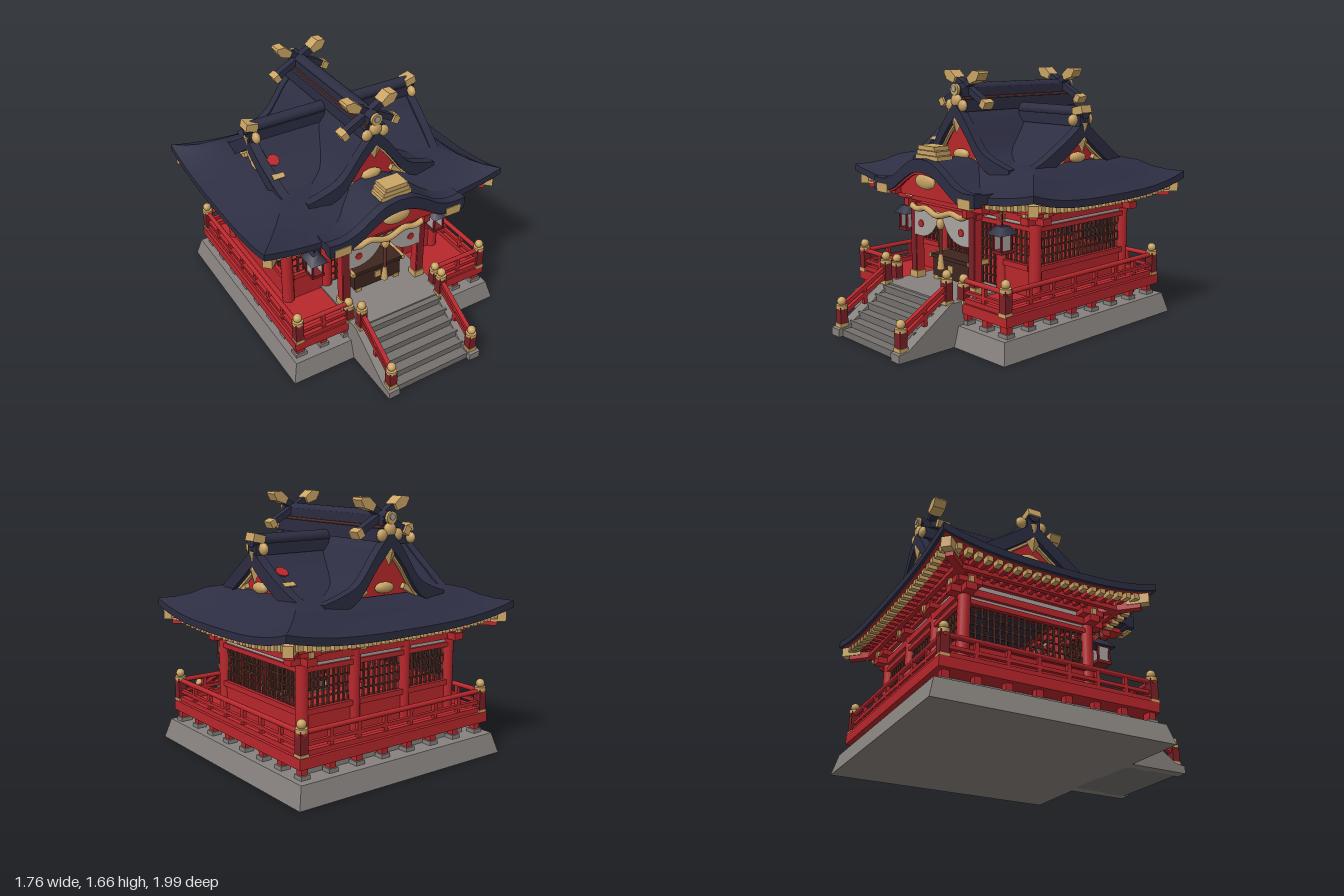
import * as THREE from 'three';
import { toCreasedNormals } from 'three/addons/utils/BufferGeometryUtils.js';

const mat = (name, color, side = THREE.FrontSide) => {
  const m = new THREE.MeshStandardMaterial({ color, side });
  m.name = name;
  return m;
};
const navy = mat('navy roof', 0x2c2d42), red = mat('vermilion', 0xb9272c), gold = mat('gold', 0xcba565),
  stone = mat('stone', 0x87827e), darkStone = mat('worn stone', 0x74706d), white = mat('off white', 0xaaa6a2, THREE.DoubleSide),
  brown = mat('dark wood', 0x3e251f), wood = mat('lattice wood', 0x5a3028), maroon = mat('dark red', 0x7c2026);

const add = (p, name, geo, m, x = 0, y = 0, z = 0, rx = 0, ry = 0, rz = 0) => {
  const o = new THREE.Mesh(geo, m);
  o.name = name;
  o.position.set(x, y, z);
  o.rotation.set(rx, ry, rz);
  p.add(o);
  return o;
};
const box = (p, name, m, w, h, d, ...t) => add(p, name, new THREE.BoxGeometry(w, h, d), m, ...t);
const cyl = (p, name, m, r, h, ...t) => add(p, name, new THREE.CylinderGeometry(r, r, h, 16), m, ...t);
const group = (p, name, x = 0, y = 0, z = 0, ry = 0) => {
  const g = new THREE.Group();
  g.name = name;
  g.position.set(x, y, z);
  g.rotation.y = ry;
  p.add(g);
  return g;
};
// Box whose top is smaller than its foot
const taper = (w, h, d, inset) => {
  const g = new THREE.BoxGeometry(w, h, d), a = g.attributes.position;
  for (let i = 0; i < a.count; i++) if (a.getY(i) > 0)
    a.setXYZ(i, a.getX(i) - Math.sign(a.getX(i)) * inset, a.getY(i), a.getZ(i) - Math.sign(a.getZ(i)) * inset);
  g.computeVertexNormals();
  return g;
};
const extrude = (shape, depth) => toCreasedNormals(
  new THREE.ExtrudeGeometry(shape, { depth, bevelEnabled: false }).translate(0, 0, -depth / 2), 0.6);
const V2 = (a) => new THREE.Vector2(a[0], a[1]);
const tube = (pts, r) => new THREE.TubeGeometry(
  new THREE.CatmullRomCurve3(pts.map((a) => new THREE.Vector3(...a))), 40, r, 8);

// Mirrored roof profile, either a band of given thickness or filled down to a base height
const roofShape = (half, dy, thick, base) => {
  const r = new THREE.SplineCurve(half.map(V2)).getPoints(18);
  const top = [...r.slice(1).reverse().map((v) => [-v.x, v.y + dy]), ...r.map((v) => [v.x, v.y + dy])];
  const low = base === undefined ? top.map(([x, y]) => [x, y - thick]).reverse()
    : top.map(([x, y]) => [x, Math.min(base, y - 0.01)]).reverse();
  return new THREE.Shape([...top, ...low].map(V2));
};

// Closed rings of a rectangular hipped roof; ring = [inset, height, corner lift]
const HX = 0.88, HZ = 0.715, CZ = -0.275;
const hipLoft = (rings) => {
  const N = 20, pos = [], idx = [], row = 4 * (N + 1);
  for (const [d, y, k] of rings) {
    const a = HX - d, b = Math.max(HZ - d, 0.02);
    for (let s = 0; s < 4; s++) for (let i = 0; i <= N; i++) {
      const u = (i / N) * 2 - 1, h = y + k * 0.075 * Math.abs(u) ** 3;
      pos.push(...[[u * a, h, b], [a, h, -u * b], [-u * a, h, -b], [-a, h, u * b]][s]);
    }
  }
  for (let r = 0; r < rings.length - 1; r++) for (let s = 0; s < 4; s++) for (let i = 0; i < N; i++) {
    const a = r * row + s * (N + 1) + i, b = a + row;
    idx.push(a, a + 1, b + 1, a, b + 1, b);
  }
  const g = new THREE.BufferGeometry();
  g.setAttribute('position', new THREE.Float32BufferAttribute(pos, 3));
  g.setIndex(idx);
  return toCreasedNormals(g, 0.6);
};

// Lattice window in the local xy plane
const lattice = (p, x0, x1, y0, y1) => {
  const g = group(p, 'latticeWindow', (x0 + x1) / 2, (y0 + y1) / 2), w = x1 - x0, h = y1 - y0;
  const n = Math.round(w / 0.04), m = Math.round(h / 0.055);
  for (let i = 0; i <= n; i++) box(g, 'verticalBar', wood, 0.012, h, 0.014, -w / 2 + (w * i) / n);
  for (let i = 0; i <= m; i++) box(g, 'horizontalBar', wood, w, 0.009, 0.01, 0, -h / 2 + (h * i) / m);
};

// One outer wall, facing local +z
const wall = (p, name, L, cols, door, ...t) => {
  const g = group(p, name, ...t);
  box(g, 'upperPanel', white, 2 * L, 0.17, 0.03, 0, 0.785);
  for (const [y, h, d, e] of [[0.455, 0.035, 0.06, 0], [0.705, 0.03, 0.06, 0], [0.765, 0.045, 0.07, 0.1], [0.845, 0.04, 0.08, 0.08]])
    if (!door || y > 0.5) box(g, 'beam', red, 2 * (L + e), h, d, 0, y);
  cols.forEach((x, i) => {
    cyl(g, 'column', red, 0.04, 0.6, x, 0.56);
    box(g, 'bracket', red, 0.15, 0.035, 0.13, x, 0.81, 0.02);
    box(g, 'bracketTip', gold, 0.03, 0.04, 0.02, x, 0.81, 0.09);
    if (!i) return;
    const a = cols[i - 1] + 0.035, b = x - 0.035, mid = door && i === 2;
    lattice(g, a, b, mid ? 0.28 : 0.47, 0.69);
    if (!mid) box(g, 'lowerPanel', red, b - a, 0.18, 0.03, (a + b) / 2, 0.36);
    if (door && !mid) box(g, 'sill', red, b - a, 0.035, 0.06, (a + b) / 2, 0.455);
  });
};

// Newel post with gold cap
const newel = (p, x, y, z, h) => {
  const g = group(p, 'newelPost', x, y, z);
  box(g, 'shaft', maroon, 0.055, h, 0.055, 0, h / 2);
  box(g, 'foot', gold, 0.062, 0.025, 0.062, 0, 0.012);
  cyl(g, 'collar', gold, 0.036, 0.025, 0, h);
  add(g, 'finial', new THREE.SphereGeometry(0.029, 12, 8), gold, 0, h + 0.035);
};

// Straight balustrade along local x, with short stilts below the deck
const railing = (p, len, ...t) => {
  const g = group(p, 'railing', ...t), n = Math.max(2, Math.round(len / 0.19));
  cyl(g, 'topRail', red, 0.016, len + 0.06, 0, 0.405, 0, 0, 0, Math.PI / 2);
  box(g, 'middleRail', red, len, 0.022, 0.025, 0, 0.335);
  box(g, 'bottomRail', red, len, 0.03, 0.035, 0, 0.285);
  for (let i = 0; i <= n; i++) {
    const x = -len / 2 + (len * i) / n;
    box(g, 'baluster', red, 0.025, 0.13, 0.025, x, 0.33);
    box(g, 'stilt', red, 0.045, 0.07, 0.045, x * 0.97, 0.175, -0.02);
    box(g, 'stiltFoot', stone, 0.065, 0.03, 0.065, x * 0.97, 0.14, -0.02);
  }
};

// Gabled roof with its ridge along local z; the rakes draw back by cut towards the eaves
const gable = (p, name, half, L, thick, wallBase, cut, ...t) => {
  const g = group(p, name, ...t), peak = half[0][1], w = half[half.length - 1][0];
  const band = (dy, th, depth, z, pts = half) => {
    const geo = extrude(roofShape(pts, dy, th), depth).translate(0, 0, z), a = geo.attributes.position;
    for (let i = 0; i < a.count; i++) a.setZ(i, a.getZ(i) - Math.sign(a.getZ(i)) * cut * (a.getX(i) / w) ** 2);
    return geo;
  };
  add(g, 'roofSlab', band(0, thick, 2 * L, 0), navy);
  for (const s of [-1, 1]) {
    add(g, 'rake', band(0.01, thick + 0.01, 0.06, s * (L - 0.02)), navy);
    add(g, 'rakeTrim', band(-thick, 0.018, 0.025, s * (L - 0.035), half.slice(0, -1)), gold);
    add(g, 'gableWall', extrude(roofShape(half.slice(0, -1), -thick + 0.01, 0, wallBase), 0.03), red, 0, 0, s * (L - 0.08));
    add(g, 'gablePendant', new THREE.OctahedronGeometry(1), gold, 0, peak - thick - 0.02, s * (L - 0.01)).scale.set(0.055, 0.09, 0.025);
    add(g, 'gableBoss', new THREE.SphereGeometry(1, 10, 6), gold, 0, wallBase + 0.05, s * (L - 0.05)).scale.set(0.075, 0.035, 0.03);
    for (const k of [-1, 1]) box(g, 'gableCorner', gold, 0.1, 0.035, 0.03, k * 0.19, wallBase + 0.025, s * (L - 0.05), 0, 0, -k * 0.5);
  }
};

export function createModel() {
  const root = new THREE.Group();
  root.name = 'shrine';

  // Stone base, stairs and cheeks
  add(root, 'base', taper(1.59, 0.13, 1.57, 0.035), stone, 0, 0.065, -0.205);
  box(root, 'foundation', stone, 1.24, 0.1, 1.22, 0, 0.17, -0.22);
  box(root, 'porchFloor', stone, 0.68, 0.16, 0.5, 0, 0.2, 0.35);
  for (let i = 0; i < 6; i++) box(root, 'step', darkStone, 0.58, 0.045 * (i + 1), 0.08, 0, 0.0225 * (i + 1), 0.93 - i * 0.066);
  const cheek = extrude(new THREE.Shape([[0.5, 0], [1, 0], [1, 0.05], [0.93, 0.06], [0.6, 0.28], [0.5, 0.28]].map(V2)), 0.08).rotateY(-Math.PI / 2);
  for (const s of [-1, 1]) {
    add(root, 'stairCheek', cheek, stone, s * 0.315);
    newel(root, s * 0.31, 0.055, 0.95, 0.13);
    newel(root, s * 0.31, 0.27, 0.6, 0.15);
    for (const y of [0.285, 0.235]) box(root, 'stairRail', red, 0.03, 0.026, 0.41, s * 0.31, y, 0.775, 0.52);
    box(root, 'stairBaluster', red, 0.025, 0.12, 0.025, s * 0.31, 0.23, 0.775);
  }

  // Veranda
  box(root, 'deck', red, 1.49, 0.065, 1.44, 0, 0.235, -0.205);
  for (const s of [-1, 1]) {
    railing(root, 1.38, s * 0.71, 0, -0.2, s * Math.PI / 2);
    railing(root, 0.36, s * 0.53, 0, 0.49, 0);
    for (const z of [0.49, -0.89]) newel(root, s * 0.71, 0.26, z, 0.16);
    newel(root, s * 0.34, 0.26, 0.49, 0.12);
  }
  railing(root, 1.42, 0, 0, -0.89, Math.PI);

  // Hall walls
  wall(root, 'frontWall', 0.58, [-0.58, -0.29, 0.29, 0.58], true, 0, 0, 0.115, 0);
  wall(root, 'backWall', 0.58, [-0.58, -0.2, 0.2, 0.58], false, 0, 0, -0.715, Math.PI);
  for (const s of [-1, 1]) wall(root, 'sideWall', 0.415, [-0.415, 0.415], false, s * 0.58, 0, -0.3, s * Math.PI / 2);

  // Hipped lower roof
  const roof = group(root, 'lowerRoof', 0, 0, CZ);
  add(roof, 'roofSkirt', hipLoft([[0.02, 0.865, 1], [0, 0.87, 1], [0, 0.915, 1], [0.08, 0.95, 0.7], [0.15, 0.995, 0.4],
    [0.22, 1.055, 0.15], [0.3, 1.085, 0], [0.42, 1.1, 0], [0.7, 1.11, 0]]), navy);
  add(roof, 'eaveSoffit', hipLoft([[0.4, 0.87, 0], [0.02, 0.866, 1]]), red);
  for (const sx of [-1, 1]) for (const sz of [-1, 1]) {
    box(roof, 'hipRafterTip', gold, 0.06, 0.065, 0.14, sx * 0.8, 0.89, sz * (HZ - 0.08), 0, sx * sz * Math.PI / 4);
    box(roof, 'hipRafter', red, 0.05, 0.06, 0.34, sx * 0.69, 0.86, sz * (HZ - 0.19), 0, sx * sz * Math.PI / 4);
  }
  [[HX, HZ], [HZ, HX], [HX, HZ], [HZ, HX]].forEach(([l, d], k) => {
    const g = group(roof, 'rafters', 0, 0, 0, k * Math.PI / 2);
    box(g, 'eaveBeam', red, 2 * l - 0.34, 0.03, 0.03, 0, 0.845, d - 0.17);
    const n = Math.round((2 * l - 0.24) / 0.062);
    for (let i = 0; i <= n; i++) {
      const x = (l - 0.12) * ((2 * i) / n - 1), y = 0.858 + 0.06 * Math.abs(x / l) ** 3;
      box(g, 'rafter', red, 0.026, 0.03, 0.2, x, y, d - 0.17);
      box(g, 'rafterTip', gold, 0.034, 0.038, 0.055, x, y, d - 0.065);
    }
  });

  // Main gable and the crossing side gable
  gable(root, 'mainGable', [[0, 1.45], [0.1, 1.34], [0.23, 1.165], [0.35, 1.1], [0.47, 1.06]], 0.53, 0.085, 1.075, 0.03, 0, 0, -0.27);
  gable(root, 'sideGable', [[0, 1.34], [0.12, 1.25], [0.24, 1.17], [0.36, 1.095], [0.46, 1.05]], 0.615, 0.09, 1.065, 0.05, 0, 0, CZ, Math.PI / 2);

  // Small coloured patches on the side slopes
  for (const s of [-1, 1]) {
    const g = group(root, 'slopePatches', 0, 0, CZ, s > 0 ? 0 : Math.PI);
    add(g, 'redPatch', new THREE.CylinderGeometry(0.042, 0.042, 0.008, 7), red, -0.525, 1.228, 0.17, 0.58);
    box(g, 'goldPatch', gold, 0.08, 0.008, 0.035, -0.54, 1.166, 0.265, 0.58);
  }

  // Main ridge with crossed finials
  const ridge = group(root, 'mainRidge', 0, 0, -0.27);
  box(ridge, 'ridgeBase', navy, 0.15, 0.08, 1.02, 0, 1.44);
  box(ridge, 'ridgeStripe', wood, 0.11, 0.02, 1.0, 0, 1.485);
  box(ridge, 'ridgeCore', navy, 0.09, 0.06, 1.02, 0, 1.52);
  cyl(ridge, 'ridgeCap', navy, 0.045, 1.04, 0, 1.535, 0, Math.PI / 2);
  const tip = extrude(new THREE.Shape([[0, -0.022], [0.07, -0.036], [0.115, -0.008], [0.115, 0.008], [0.07, 0.036], [0, 0.022]].map(V2)), 0.085);
  for (const s of [-1, 1]) {
    cyl(ridge, 'ridgeEndDisc', gold, 0.038, 0.03, 0, 1.54, s * 0.525, Math.PI / 2);
    cyl(ridge, 'ridgeEndCentre', white, 0.02, 0.008, 0, 1.545, s * 0.542, Math.PI / 2);
    for (const [x, y, r] of [[0, 1.47, 0.045], [-0.06, 1.44, 0.038], [0.06, 1.44, 0.038]])
      add(ridge, 'ridgeEndOrnament', new THREE.SphereGeometry(r, 10, 8), gold, x, y, s * 0.52).scale.z = 0.6;
    for (const k of [-1, 1]) {
      const arm = group(ridge, 'crossedFinial', 0, 1.555, s * 0.44 + k * 0.008);
      arm.rotation.z = k * 0.5;
      box(arm, 'finialBar', navy, 0.36, 0.04, 0.05, k * -0.04);
      box(arm, 'lowerTip', gold, 0.045, 0.05, 0.08, k * -0.215);
      add(arm, 'upperTip', tip, gold, k * 0.085, 0, 0, 0, k > 0 ? 0 : Math.PI);
    }
  }

  // Side ridges
  for (const s of [-1, 1]) {
    const g = group(root, 'sideRidge', 0, 0, CZ, s * Math.PI / 2);
    box(g, 'ridgeBase', navy, 0.09, 0.07, 0.54, 0, 1.35, 0.35);
    cyl(g, 'ridgeCap', navy, 0.04, 0.56, 0, 1.4, 0.35, Math.PI / 2);
    box(g, 'ridgeTip', gold, 0.09, 0.05, 0.08, 0, 1.415, 0.595, -0.25);
    for (const k of [-1, 0, 1]) add(g, 'ridgeOrnament', new THREE.SphereGeometry(0.038, 10, 8), gold, k * 0.07, 1.355, 0.585).scale.z = 0.7;
    add(g, 'ridgeDrop', new THREE.ConeGeometry(0.03, 0.1, 8), gold, 0, 1.29, 0.61, Math.PI);
  }

  // Porch with its curved roof
  const porch = group(root, 'porch');
  const wave = [[0, 1.12], [0.1, 1.105], [0.2, 1.05], [0.3, 0.985], [0.4, 0.955], [0.5, 0.96]];
  add(porch, 'porchRoof', extrude(roofShape(wave, -0.01, 0.06), 0.36), navy, 0, 0, 0.35);
  add(porch, 'porchRake', extrude(roofShape(wave, 0, 0.085), 0.06), navy, 0, 0, 0.515);
  add(porch, 'porchTrim', extrude(roofShape(wave.slice(0, 5), -0.08, 0.018), 0.02), red, 0, 0, 0.52);
  add(porch, 'porchGable', extrude(roofShape(wave.slice(0, 4), -0.07, 0, 0.86), 0.03), red, 0, 0, 0.46);
  add(porch, 'porchPendant', new THREE.SphereGeometry(1, 12, 8), gold, 0, 0.975, 0.51).scale.set(0.1, 0.05, 0.025);
  for (const [w, y] of [[0.22, 1.125], [0.19, 1.155], [0.16, 1.185]]) box(porch, 'roofOrnament', gold, w, 0.027, 0.12, 0, y, 0.44);
  box(porch, 'frontBeam', red, 0.84, 0.05, 0.06, 0, 0.84, 0.38);
  box(porch, 'lowerBeam', red, 0.66, 0.035, 0.05, 0, 0.775, 0.35);
  add(porch, 'twistedRope', tube([[-0.3, 0.79, 0.41], [-0.22, 0.76, 0.41], [-0.13, 0.775, 0.41], [0, 0.745, 0.42],
    [0.13, 0.775, 0.41], [0.22, 0.76, 0.41], [0.3, 0.79, 0.41]], 0.02), gold);
  add(porch, 'bell', new THREE.SphereGeometry(0.028, 12, 8), gold, 0, 0.69, 0.39).scale.y = 1.5;
  cyl(porch, 'bellRope', wood, 0.012, 0.2, 0, 0.57, 0.39);
  add(porch, 'ropeTassel', new THREE.CylinderGeometry(0.014, 0.026, 0.1, 10), gold, 0, 0.44, 0.39);
  for (const s of [-1, 1]) {
    box(porch, 'porchColumn', red, 0.06, 0.6, 0.06, s * 0.29, 0.57, 0.35);
    box(porch, 'columnFace', maroon, 0.05, 0.44, 0.008, s * 0.29, 0.55, 0.38);
    box(porch, 'porchColumnBase', gold, 0.075, 0.05, 0.075, s * 0.29, 0.3, 0.35);
    box(porch, 'columnCapital', gold, 0.075, 0.03, 0.09, s * 0.29, 0.85, 0.375);
    box(porch, 'tieBeam', red, 0.045, 0.05, 0.36, s * 0.29, 0.8, 0.26);
    box(porch, 'porchBracket', red, 0.1, 0.05, 0.2, s * 0.38, 0.88, 0.4);
    box(porch, 'eaveFitting', gold, 0.11, 0.06, 0.04, s * 0.41, 0.89, 0.53);
    const cloth = new THREE.Shape();
    cloth.moveTo(s * 0.01, 0.765);
    cloth.lineTo(s * 0.27, 0.765);
    cloth.lineTo(s * 0.27, 0.58);
    cloth.quadraticCurveTo(s * 0.09, 0.55, s * 0.02, 0.72);
    add(porch, 'curtain', new THREE.ShapeGeometry(cloth), white, 0, 0, 0.388);
    cyl(porch, 'curtainDot', red, 0.025, 0.008, s * 0.2, 0.66, 0.39, Math.PI / 2);

    // Hanging lantern, papered on its broad sides
    const l = group(root, 'lantern', s * 0.47, 0, 0.29);
    cyl(l, 'cord', brown, 0.005, 0.13, 0, 0.8);
    add(l, 'ring', new THREE.TorusGeometry(0.026, 0.005, 6, 16), gold, 0, 0.79, 0, 0, Math.PI / 2);
    add(l, 'lanternRoof', new THREE.CylinderGeometry(0.05, 0.11, 0.05, 4).rotateY(Math.PI / 4), navy, 0, 0.71).scale.x = 0.8;
    for (const a of [-1, 1]) {
      box(l, 'lanternPaper', white, 0.008, 0.1, 0.075, a * 0.034, 0.63);
      for (const b of [-1, 1]) box(l, 'lanternPost', maroon, 0.012, 0.11, 0.014, a * 0.036, 0.63, b * 0.04);
    }
    box(l, 'lanternFoot', maroon, 0.09, 0.02, 0.1, 0, 0.575);
  }

  // Offering box
  const chest = group(root, 'offeringBox', 0, 0.28, 0.24);
  box(chest, 'chestBody', brown, 0.36, 0.13, 0.13, 0, 0.085);
  box(chest, 'chestRim', brown, 0.4, 0.025, 0.16, 0, 0.16);
  for (const s of [-1, 1]) {
    box(chest, 'chestFoot', gold, 0.04, 0.025, 0.14, s * 0.15, 0.012);
    box(chest, 'rimFitting', gold, 0.02, 0.03, 0.165, s * 0.195, 0.16);
  }
  box(chest, 'chestPlate', gold, 0.05, 0.05, 0.008, 0, 0.09, 0.068);
  return root;
}
